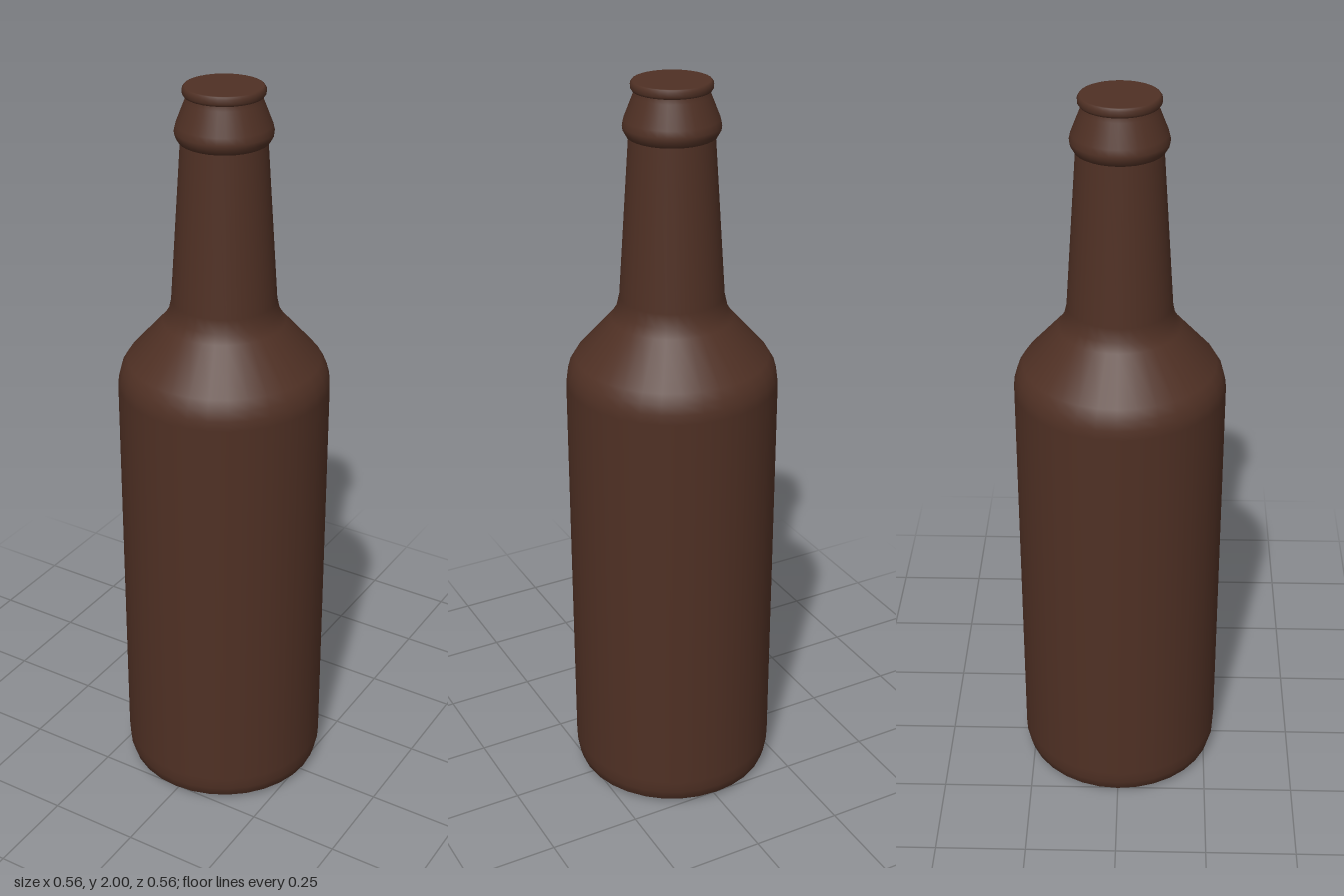
import * as THREE from 'three';

const SIDES = 32;

// Smooth surface of revolution from [radius, height] pairs, listed bottom to top
function turned(name, points, material) {
  const profile = points.map(([r, y]) => new THREE.Vector2(r, y));
  const mesh = new THREE.Mesh(new THREE.LatheGeometry(profile, SIDES), material);
  mesh.name = name;
  return mesh;
}

export function createModel() {
  const bottle = new THREE.Group();
  bottle.name = 'bottle';
  const glass = new THREE.MeshStandardMaterial({ color: 0x4f3024 });

  // Base, straight body, sloped shoulder and tapering neck
  bottle.add(turned('body', [
    [0, 0], [0.235, 0], [0.255, 0.004], [0.27, 0.017], [0.278, 0.045],
    [0.28, 0.08], [0.28, 1.2], [0.277, 1.225], [0.27, 1.25], [0.255, 1.275],
    [0.16, 1.381], [0.145, 1.405], [0.137, 1.44], [0.109, 1.862],
  ], glass));

  // Flared collar under the mouth
  bottle.add(turned('collar', [
    [0.106, 1.858], [0.114, 1.862], [0.122, 1.876], [0.124, 1.888],
    [0.12, 1.905], [0.097, 1.963], [0.094, 1.976],
  ], glass));

  // Thin rounded lip with a flat closed top
  bottle.add(turned('lip', [
    [0.092, 1.974], [0.099, 1.976], [0.103, 1.982], [0.103, 1.993],
    [0.099, 1.999], [0.096, 2], [0, 2],
  ], glass));

  return bottle;
}
